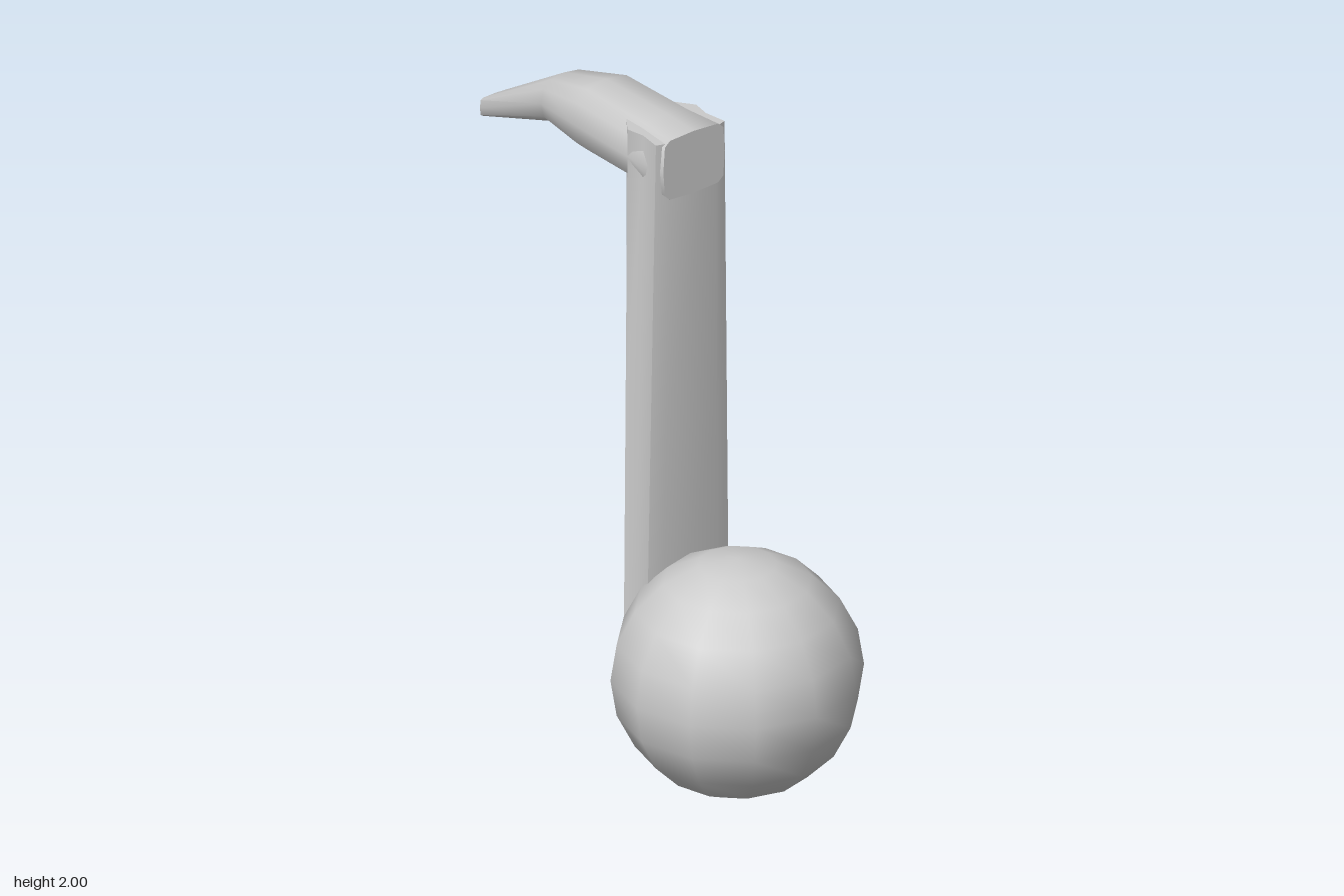
import * as THREE from 'three';
import { toCreasedNormals } from 'three/addons/utils/BufferGeometryUtils.js';

const material = new THREE.MeshStandardMaterial({ color: 0xcccccc, side: THREE.DoubleSide });

// Closed skin through rings of points, with fan caps on both ends
function loft(rings, crease) {
  const n = rings[0].length, last = rings.length - 1;
  const points = rings.flat();
  const index = [];
  for (let r = 0; r < last; r++) {
    for (let i = 0; i < n; i++) {
      const a = r * n + i, b = r * n + (i + 1) % n;
      index.push(a, b, b + n, a, b + n, a + n);
    }
  }
  for (const [r, flip] of [[0, true], [last, false]]) {
    const centre = rings[r].reduce((s, p) => s.add(p), new THREE.Vector3()).divideScalar(n);
    const c = points.push(centre) - 1;
    for (let i = 0; i < n; i++) {
      const a = r * n + i, b = r * n + (i + 1) % n;
      index.push(c, flip ? b : a, flip ? a : b);
    }
  }
  const geometry = new THREE.BufferGeometry().setFromPoints(points);
  geometry.setIndex(index);
  return toCreasedNormals(geometry, crease);
}

function addPart(group, name, geometry) {
  const mesh = new THREE.Mesh(geometry, material);
  mesh.name = name;
  group.add(mesh);
  return mesh;
}

export function createModel() {
  const group = new THREE.Group();
  group.name = 'musicNote';

  // Round head
  addPart(group, 'noteHead', new THREE.SphereGeometry(0.36, 12, 10)).position.set(0, 0.365, 0.37);

  // Tapered stem: half section (x, z), mirrored, with shallow side grooves
  const half = [[0.1, 0.155], [0.15, 0.145], [0.137, 0.09], [0.15, 0.045], [0.1, 0]];
  const section = [...half, ...half.map(([x, z]) => [-x, z]).reverse()];
  const stemRings = [0, 0.5, 1].map((t) => section.map(([x, z]) => {
    const bottom = 0.26 - z * 0.5;
    return new THREE.Vector3(
      x * (1 - 0.18 * t),
      THREE.MathUtils.lerp(bottom, 1.98, t),
      THREE.MathUtils.lerp(z, z * 1.28 - 0.028, t),
    );
  }));
  addPart(group, 'stem', loft(stemRings, 0.9));

  // Curved flag: z, half width, lower y, upper y
  const flagStations = [
    [0.175, 0.11, 1.8, 1.995],
    [0.05, 0.125, 1.79, 2],
    [-0.22, 0.12, 1.79, 2],
    [-0.41, 0.085, 1.8, 1.945],
    [-0.73, 0.05, 1.69, 1.75],
  ];
  const flagRings = flagStations.map(([z, w, low, high], s) => {
    const power = s < 1 || s > 3 ? 0.35 : 0.75;
    return Array.from({ length: 12 }, (_, i) => {
      const angle = -i * Math.PI / 6;
      const squash = (v) => Math.sign(v) * Math.pow(Math.abs(v), power);
      return new THREE.Vector3(
        w * squash(Math.cos(angle)),
        (low + high) / 2 + (high - low) / 2 * squash(Math.sin(angle)),
        z,
      );
    });
  });
  addPart(group, 'flag', loft(flagRings, 0.9));

  return group;
}
